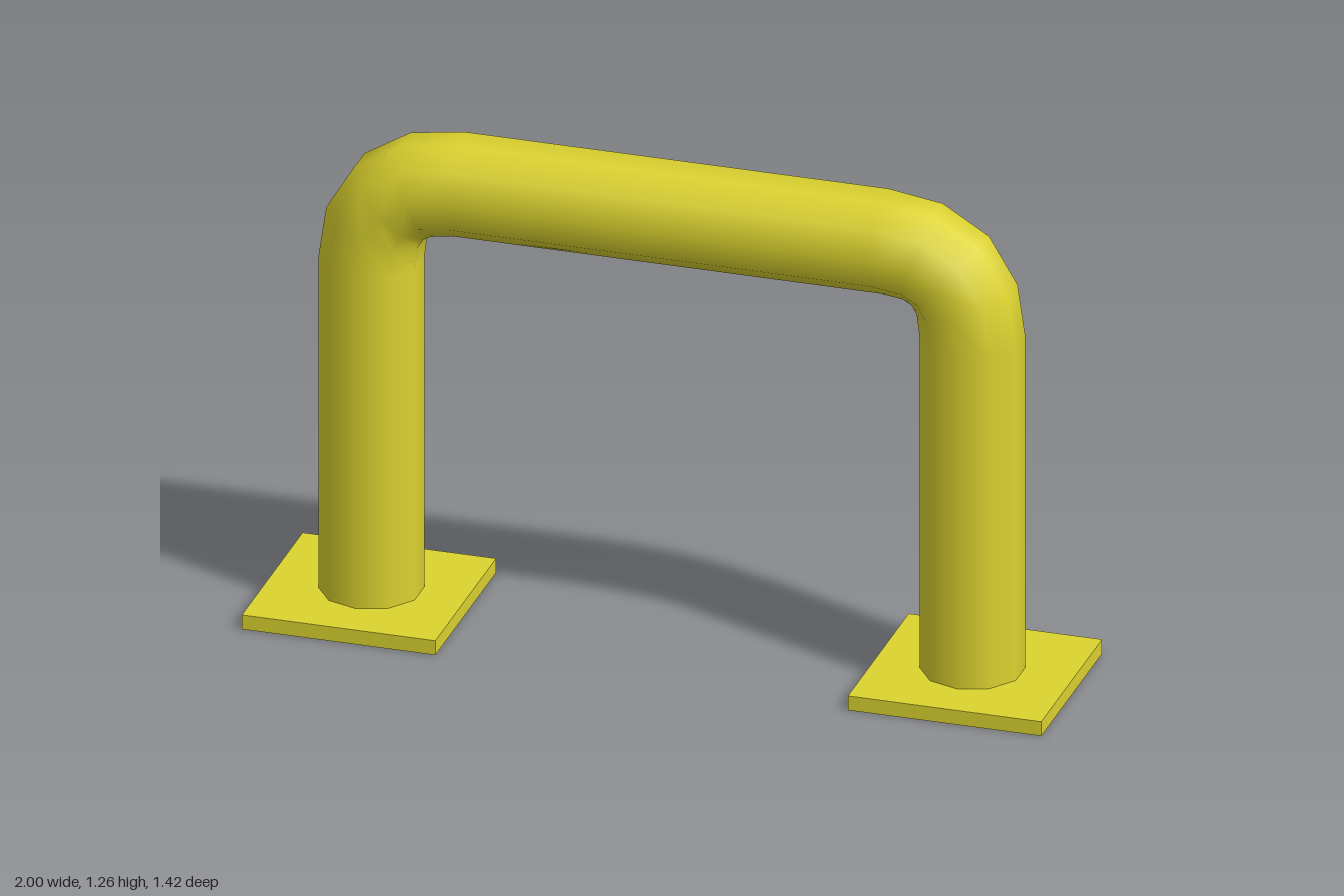
import * as THREE from 'three';

const SIDES = 10;
const RADIUS = 0.128;
const LEG = 0.76;        // distance of each leg from the centre
const TOP = 1.143;       // height of the rail's centre line
const BEND = 0.225;      // reach of each bend
const BEND_STEPS = 4;
const PLATE = 0.489;
const PLATE_HEIGHT = 0.038;

// Centre line of the hoop: leg, bend, rail, bend, leg, each with its tangent
function hoopPath() {
  const left = [{ x: -LEG, y: 0.01, tx: 0, ty: 1 }];
  for (let i = 0; i <= BEND_STEPS; i++) {
    const t = i / BEND_STEPS;
    const len = Math.hypot(t, 1 - t);
    left.push({
      x: -LEG + BEND * t * t,
      y: TOP - BEND * (1 - t) * (1 - t),
      tx: t / len,
      ty: (1 - t) / len,
    });
  }
  const right = left.map((p) => ({ x: -p.x, y: p.y, tx: p.tx, ty: -p.ty })).reverse();
  return [...left, ...right];
}

// Rings of vertices swept along the path, with smooth radial normals
function hoopGeometry() {
  const path = hoopPath();
  const positions = [], normals = [], indices = [];
  path.forEach((p, i) => {
    for (let k = 0; k < SIDES; k++) {
      const a = ((k + 0.5) / SIDES) * Math.PI * 2;
      const nx = -p.ty * Math.cos(a);
      const ny = p.tx * Math.cos(a);
      const nz = Math.sin(a);
      positions.push(p.x + nx * RADIUS, p.y + ny * RADIUS, nz * RADIUS);
      normals.push(nx, ny, nz);
      if (i < path.length - 1) {
        const here = i * SIDES + k;
        const beside = i * SIDES + ((k + 1) % SIDES);
        indices.push(here, beside, here + SIDES, beside, beside + SIDES, here + SIDES);
      }
    }
  });
  const geometry = new THREE.BufferGeometry();
  geometry.setAttribute('position', new THREE.Float32BufferAttribute(positions, 3));
  geometry.setAttribute('normal', new THREE.Float32BufferAttribute(normals, 3));
  geometry.setIndex(indices);
  return geometry;
}

export function createModel() {
  const yellow = new THREE.MeshStandardMaterial({ color: 0xdcd32f });
  yellow.name = 'safety yellow';

  const model = new THREE.Group();
  model.name = 'barrierHoop';

  // Bent tube
  const hoop = new THREE.Mesh(hoopGeometry(), yellow);
  hoop.name = 'hoopTube';
  model.add(hoop);

  // Square floor plates
  for (const side of [1, -1]) {
    const plate = new THREE.Mesh(new THREE.BoxGeometry(PLATE, PLATE_HEIGHT, PLATE), yellow);
    plate.name = side > 0 ? 'leftBasePlate' : 'rightBasePlate';
    plate.position.set(side * 0.766, PLATE_HEIGHT / 2, 0);
    model.add(plate);
  }

  // The hoop stands diagonally
  model.rotation.y = THREE.MathUtils.degToRad(29.5);
  const root = new THREE.Group();
  root.name = 'barrier';
  root.add(model);
  return root;
}
